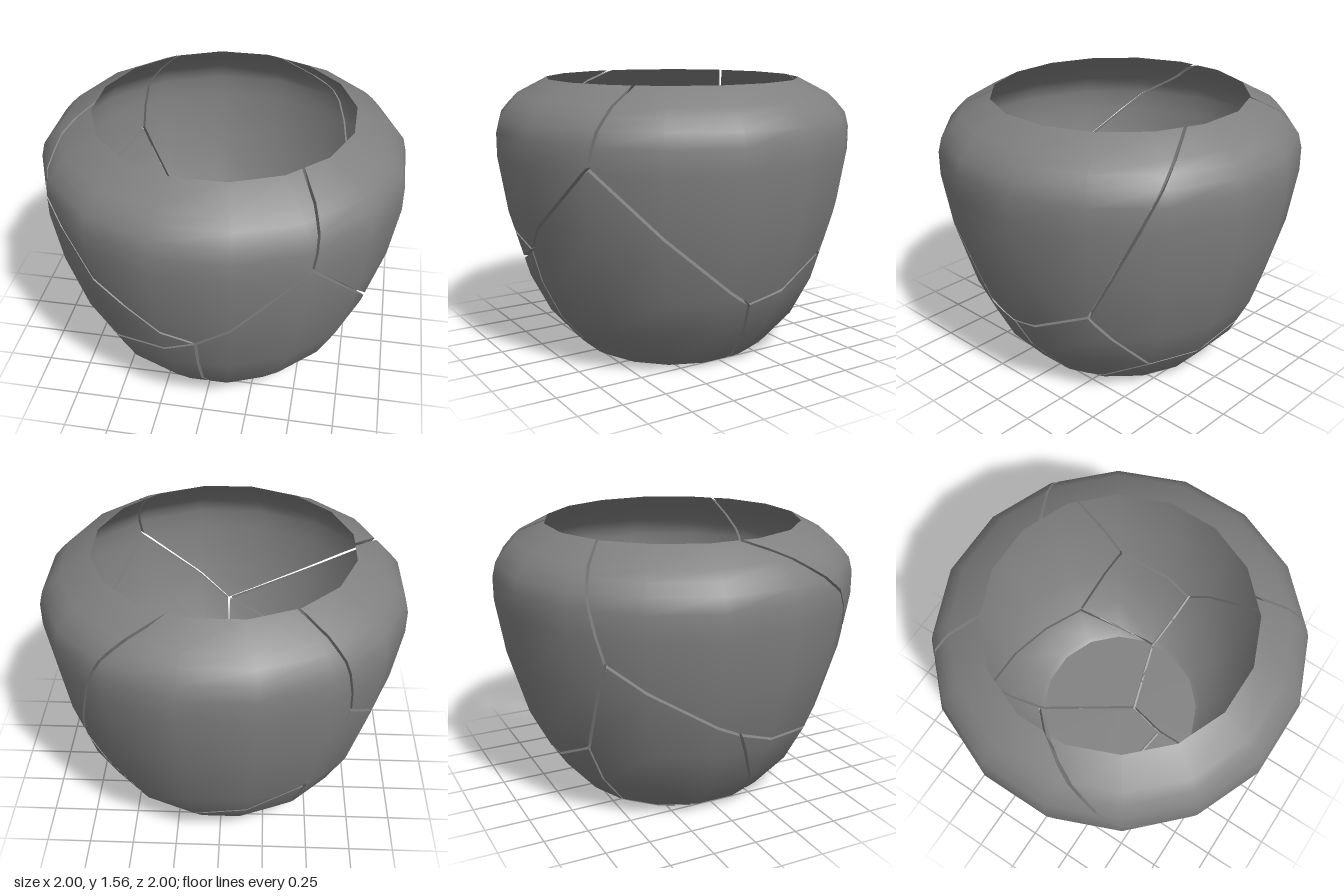
import * as THREE from 'three';

const SIDES = 16, GAP = 0.008;
const FLAT = Math.cos(Math.PI / SIDES);
const V = (x, y, z) => new THREE.Vector3(x, y, z);
const CORE = V(0, 0.8, 0); // cracks run along planes through this point

// Wall section: outer radius, outer height, inner radius, inner height
const WALL = [
  [0.5, 0, 0.5, 0.05], [0.55, 0.03, 0.53, 0.08], [0.73, 0.24, 0.68, 0.27],
  [0.84, 0.46, 0.79, 0.48], [0.95, 0.84, 0.9, 0.85], [1, 1.15, 0.95, 1.15],
  [1, 1.28, 0.95, 1.27], [0.98, 1.36, 0.93, 1.33], [0.93, 1.42, 0.89, 1.38],
  [0.88, 1.47, 0.85, 1.43], [0.71, 1.56, 0.71, 1.56],
];
const FLOOR = [[0, 0, 0, 0.05], [0.5, 0, 0.5, 0.05]];

// Points where cracks meet
const J = {
  front: V(0, 0.65, 0.9), frontRight: V(0.57, 1.17, 0.82),
  right: V(0.82, 0.42, 0.03), backRight: V(0.75, 0.62, -0.48),
  backLow: V(0.4, 0.22, -0.6), backLeftLow: V(-0.48, 0.47, -0.73),
  backLeft: V(-0.68, 1.0, -0.7), left: V(-0.875, 0.57, -0.03),
  floorMid: V(0.05, 0, 0.08), floorFront: V(0, 0, 0.31), floorRight: V(0.5, 0, -0.06),
  floorLeft: V(-0.45, 0.03, 0.235), floorBack: V(-0.32, 0.03, -0.475),
  rimFront: V(0.48, 1.56, 0.52), rimBack: V(0.57, 1.42, -0.84),
  rimBackLeft: V(-0.41, 1.56, -0.63), rimLeft: V(-0.9, 1.4, 0.4),
};
// Cracks whose plane passes through another surface point instead of the core
const BENDS = {
  'front rimLeft': V(-0.55, 0.97, 0.8),
  'front left': V(-0.45, 0.49, 0.72),
  'floorBack floorLeft': V(-0.54, 0.03, -0.1),
};
// Each shard is a loop of crack points; loops from rim to rim stay open
const SHARDS = {
  frontUpperShard: 'rimFront frontRight front rimLeft',
  rightUpperShard: 'rimBack backRight right frontRight rimFront',
  backUpperShard: 'rimBackLeft backLeft backLeftLow backLow backRight rimBack',
  leftUpperShard: 'rimLeft front left backLeft rimBackLeft',
  frontLowerShard: 'floorMid floorFront front frontRight right floorRight',
  rightLowerShard: 'floorRight right backRight backLow',
  backLowerShard: 'floorMid floorRight backLow backLeftLow floorBack',
  leftLowerShard: 'floorLeft floorBack backLeftLow backLeft left',
  frontLeftLowerShard: 'floorFront floorLeft left front',
  floorShard: 'floorMid floorBack floorLeft floorFront',
};

// Faceted rings of quads; every corner carries its outer point, inner point and normal
function revolve(section) {
  const slopes = section.slice(1).map((p, i) =>
    new THREE.Vector2(p[1] - section[i][1], section[i][0] - p[0]).normalize());
  const corner = (i, k) => {
    const [r, y, ri, yi] = section[i];
    const n2 = (slopes[i - 1] || slopes[i]).clone().add(slopes[i] || slopes[i - 1]).normalize();
    const a = (k + 0.5) * 2 * Math.PI / SIDES, s = Math.sin(a), c = Math.cos(a);
    return {
      p: V(s * r / FLAT, y, c * r / FLAT), q: V(s * ri / FLAT, yi, c * ri / FLAT),
      n: V(s * n2.x, n2.y, c * n2.x), cut: false,
    };
  };
  const cells = [];
  for (let i = 0; i < section.length - 1; i++)
    for (let k = 0; k < SIDES; k++)
      cells.push([corner(i, k), corner(i, k + 1), corner(i + 1, k + 1), corner(i + 1, k)]);
  return cells;
}

// Planes that bound a shard, all facing its middle
function shardPlanes(names) {
  const middle = V(0, 0, 0);
  names.forEach(n => middle.addScaledVector(J[n], 1 / names.length));
  const planes = [];
  names.forEach((a, i) => {
    const b = names[(i + 1) % names.length];
    if (a.startsWith('rim') && b.startsWith('rim')) return;
    const third = BENDS[[a, b].sort().join(' ')] || CORE;
    const plane = new THREE.Plane().setFromCoplanarPoints(J[a], J[b], third);
    if (plane.distanceToPoint(middle) < 0) plane.negate();
    plane.constant -= GAP;
    planes.push(plane);
  });
  return planes;
}

// Keep the part of a cell in front of a plane, marking the fresh broken edge
function clip(cell, plane) {
  const out = [];
  cell.forEach((a, i) => {
    const b = cell[(i + 1) % cell.length];
    const da = plane.distanceToPoint(a.p), db = plane.distanceToPoint(b.p);
    if (da >= 0) out.push(a);
    if ((da >= 0) !== (db >= 0)) {
      const t = da / (da - db);
      out.push({
        p: a.p.clone().lerp(b.p, t), q: a.q.clone().lerp(b.q, t),
        n: a.n.clone().lerp(b.n, t).normalize(), cut: da >= 0 ? true : a.cut,
      });
    }
  });
  return out;
}

// Outer skin, inner skin and broken edges of one shard
function shardGeometry(cells, planes) {
  const pos = [], nor = [];
  const tri = (points, normals) => {
    const area = points[1].clone().sub(points[0]).cross(points[2].clone().sub(points[0]));
    if (area.lengthSq() < 1e-14) return;
    points.forEach((p, i) => {
      pos.push(p.x, p.y, p.z);
      nor.push(normals[i].x, normals[i].y, normals[i].z);
    });
  };
  for (const cell of cells) {
    const poly = planes.reduce(clip, cell);
    for (let i = 1; i < poly.length - 1; i++) {
      const [a, b, c] = [poly[0], poly[i], poly[i + 1]];
      tri([a.p, b.p, c.p], [a.n, b.n, c.n]);
      tri([a.q, c.q, b.q], [a, c, b].map(v => v.n.clone().negate()));
    }
    poly.forEach((a, i) => {
      if (!a.cut) return;
      const b = poly[(i + 1) % poly.length];
      const n = b.q.clone().sub(a.p).cross(b.p.clone().sub(a.q)).normalize();
      tri([a.p, a.q, b.q], [n, n, n]);
      tri([a.p, b.q, b.p], [n, n, n]);
    });
  }
  const g = new THREE.BufferGeometry();
  g.setAttribute('position', new THREE.Float32BufferAttribute(pos, 3));
  g.setAttribute('normal', new THREE.Float32BufferAttribute(nor, 3));
  return g;
}

export function createModel() {
  const pot = new THREE.Group();
  pot.name = 'crackedPot';
  const material = new THREE.MeshStandardMaterial({ color: 0x808080, side: THREE.DoubleSide });
  const cells = [...revolve(FLOOR), ...revolve(WALL)];
  for (const [name, loop] of Object.entries(SHARDS)) {
    const mesh = new THREE.Mesh(shardGeometry(cells, shardPlanes(loop.split(' '))), material);
    mesh.name = name;
    pot.add(mesh);
  }
  return pot;
}
